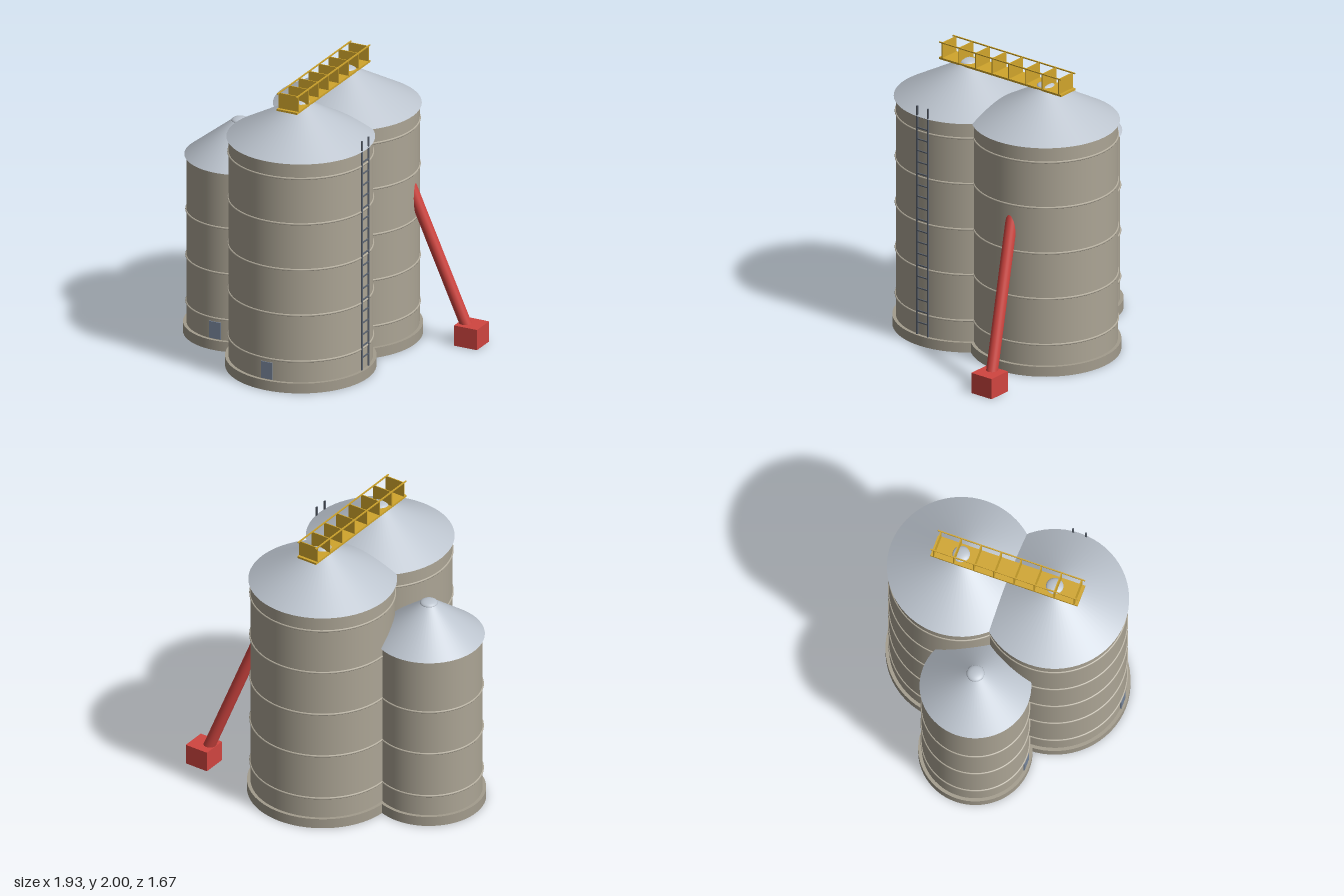
import * as THREE from 'three';

const mat = (name, color) => {
  const m = new THREE.MeshStandardMaterial({ color });
  m.name = name;
  return m;
};

export function createModel() {
  const steel = mat('silo wall', 0xaca595);
  const bandMat = mat('band', 0xb8b1a1);
  const concrete = mat('foundation', 0xa39c8d);
  const roofMat = mat('roof metal', 0xbcc4ce);
  const doorMat = mat('door', 0x77859a);
  const ladderMat = mat('ladder steel', 0x5c6470);
  const yellow = mat('walkway yellow', 0xd0a52c);
  const red = mat('auger red', 0xd04540);

  const model = new THREE.Group();
  model.name = 'grainSilos';

  const add = (parent, name, geometry, material, x = 0, y = 0, z = 0) => {
    const mesh = new THREE.Mesh(geometry, material);
    mesh.name = name;
    mesh.position.set(x, y, z);
    parent.add(mesh);
    return mesh;
  };
  const box = (parent, name, w, h, d, material, x, y, z) =>
    add(parent, name, new THREE.BoxGeometry(w, h, d), material, x, y, z);

  // One silo: foundation, wall, bands, conical roof, rounded cap and optional door
  function silo(name, x, z, r, eaveY, roofTop, capR, capH, bands, hasDoor) {
    const g = new THREE.Group();
    g.name = name;
    g.position.set(x, 0, z);
    model.add(g);
    const baseR = r + 0.023, roofR = r + 0.014;
    add(g, 'foundation', new THREE.CylinderGeometry(baseR, baseR, 0.07, 64), concrete, 0, 0.035);
    add(g, 'wall', new THREE.CylinderGeometry(r, r, eaveY - 0.065, 64), steel, 0, (eaveY + 0.065) / 2);
    for (const y of bands) {
      const band = add(g, 'band', new THREE.TorusGeometry(r, 0.008, 6, 64), bandMat, 0, y);
      band.rotation.x = Math.PI / 2;
    }
    const h = roofTop - eaveY;
    add(g, 'roof', new THREE.CylinderGeometry(capR, roofR, h, 64), roofMat, 0, eaveY + h / 2);
    const cap = add(g, 'roofCap',
      new THREE.SphereGeometry(capR, 24, 6, 0, Math.PI * 2, 0, Math.PI / 2), roofMat, 0, roofTop);
    cap.scale.y = capH / capR;
    if (hasDoor) box(g, 'door', 0.085, 0.12, 0.009, doorMat, 0, 0.135, r + 0.001);
  }
  const bigBands = [0.22, 0.55, 0.877, 1.205, 1.532];
  silo('frontSilo', 0.045, 0.33, 0.48, 1.64, 1.885, 0.06, 0.022, bigBands, true);
  silo('backSilo', 0.045, -0.33, 0.48, 1.64, 1.885, 0.06, 0.022, bigBands, false);
  silo('smallSilo', -0.585, 0, 0.357, 1.27, 1.512, 0.06, 0.023, [0.22, 0.55, 0.877], true);

  // Walkway across the two peaks, with cross panels and side rails
  const walkway = new THREE.Group();
  walkway.name = 'walkway';
  walkway.position.x = 0.041;
  model.add(walkway);
  box(walkway, 'deck', 0.152, 0.014, 1.04, yellow, 0, 1.882, 0);
  for (let i = 0; i < 8; i++) {
    box(walkway, 'crossPanel', 0.15, 0.115, 0.007, yellow, 0, 1.94, 0.495 - i * 0.1418);
  }
  for (const s of [-1, 1]) {
    box(walkway, 'rail', 0.008, 0.008, 1.04, yellow, s * 0.071, 1.996, 0);
  }

  // Ladder on the left side of the front silo
  const ladder = new THREE.Group();
  ladder.name = 'ladder';
  ladder.position.set(0.528, 0, 0.329);
  model.add(ladder);
  for (const s of [-1, 1]) {
    box(ladder, 'ladderRail', 0.01, 1.645, 0.01, ladderMat, 0, 0.89, s * 0.046);
  }
  for (let i = 0; i < 19; i++) {
    box(ladder, 'rung', 0.008, 0.008, 0.09, ladderMat, 0, 0.158 + i * 0.0823, 0);
  }

  // Auger: a hopper box with a slanted tube running into the back silo
  const auger = new THREE.Group();
  auger.name = 'auger';
  model.add(auger);
  box(auger, 'hopper', 0.172, 0.145, 0.172, red, 0.876, 0.0725, -0.521);
  const start = new THREE.Vector3(0.855, 0.09, -0.517);
  const end = new THREE.Vector3(0.45, 1.2, -0.386);
  const dir = end.clone().sub(start);
  const tube = add(auger, 'tube', new THREE.CylinderGeometry(0.04, 0.04, dir.length(), 24), red);
  tube.position.copy(start).add(end).multiplyScalar(0.5);
  tube.quaternion.setFromUnitVectors(new THREE.Vector3(0, 1, 0), dir.normalize());

  return model;
}
